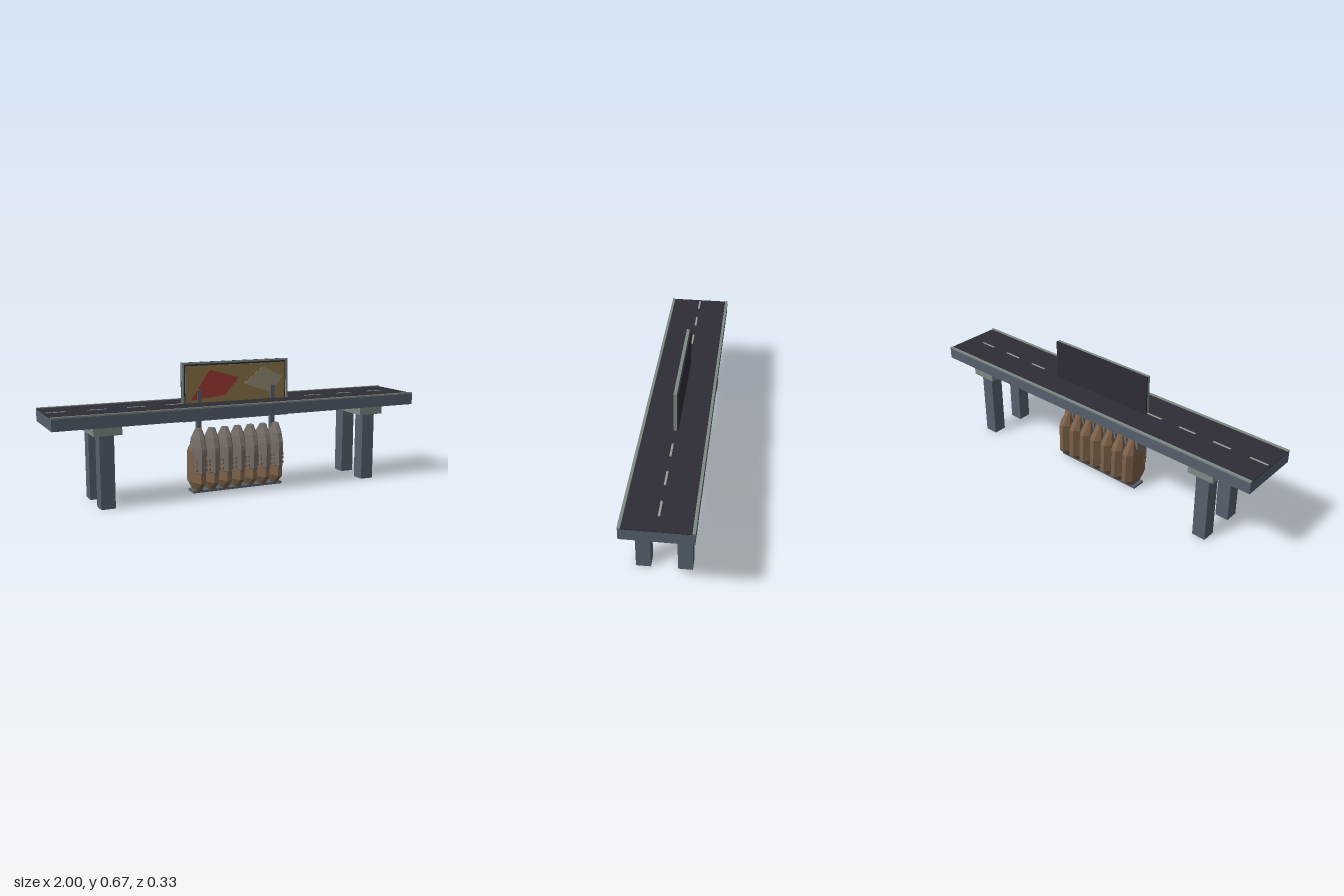
import * as THREE from 'three';

const mat = (name, color, extra = {}) => {
  const m = new THREE.MeshStandardMaterial({ color, ...extra });
  m.name = name;
  return m;
};

// Eight-sided loft; each ring is [y, halfWidth, noseHalfWidth, backNoseZ, backSideZ, frontSideZ, frontNoseZ]
function loftOctagon(rings) {
  const pos = [], idx = [];
  for (const [y, w, n, bn, bs, fs, fn] of rings) {
    pos.push(n, y, fn, w, y, fs, w, y, bs, n, y, bn, -n, y, bn, -w, y, bs, -w, y, fs, -n, y, fn);
  }
  for (let r = 0; r < rings.length - 1; r++) {
    for (let i = 0; i < 8; i++) {
      const a = r * 8 + i, b = r * 8 + (i + 1) % 8;
      idx.push(a, b, b + 8, a, b + 8, a + 8);
    }
  }
  const top = (rings.length - 1) * 8;
  for (let i = 1; i < 7; i++) idx.push(0, i + 1, i, top, top + i, top + i + 1);
  const indexed = new THREE.BufferGeometry();
  indexed.setAttribute('position', new THREE.Float32BufferAttribute(pos, 3));
  indexed.setIndex(idx);
  const geo = indexed.toNonIndexed();
  geo.computeVertexNormals();
  return geo;
}

export function createModel() {
  const root = new THREE.Group();
  root.name = 'overpass';
  const slate = mat('slate concrete', 0x56616d);
  const asphalt = mat('asphalt', 0x2e2d36);
  const stone = mat('pale concrete', 0x7f8a84);
  const paint = mat('road paint', 0x9a9a94);
  const ochre = mat('ochre panel', 0x8f774a);
  const red = mat('red poster', 0xa43c36);
  const cream = mat('cream poster', 0x9a9079);
  const brown = mat('brown shell', 0x7b6049);
  const taupe = mat('taupe hood', 0x756c66);

  const add = (name, geo, material, x = 0, y = 0, z = 0, parent = root) => {
    const m = new THREE.Mesh(geo, material);
    m.name = name;
    m.position.set(x, y, z);
    parent.add(m);
    return m;
  };
  // Box given by its min and max on each axis
  const box = (name, material, x0, x1, y0, y1, z0, z1, parent = root) =>
    add(name, new THREE.BoxGeometry(x1 - x0, y1 - y0, z1 - z0), material,
      (x0 + x1) / 2, (y0 + y1) / 2, (z0 + z1) / 2, parent);

  // Deck, road surface, kerbs and lane dashes
  box('deck', slate, -1, 1, 0.402, 0.46, -0.166, 0.166);
  box('roadSurface', asphalt, -1, 1, 0.46, 0.464, -0.153, 0.153);
  for (const s of [-1, 1]) {
    box('kerb', stone, -1, 1, 0.46, 0.468, s * 0.16 - 0.007, s * 0.16 + 0.007);
  }
  for (let i = 0; i < 10; i++) {
    const x = -0.94 + i * 0.2;
    box('laneDash', paint, x - 0.048, x + 0.048, 0.464, 0.4655, -0.005, 0.005);
  }

  // Piers: a cap on two square columns at each end
  for (const s of [-1, 1]) {
    const x = s * 0.735;
    box('pierCap', stone, x - 0.07, x + 0.07, 0.362, 0.402, -0.16, 0.16);
    for (const t of [-1, 1]) {
      box('column', slate, x - 0.036, x + 0.036, 0, 0.362, t * 0.1 - 0.036, t * 0.1 + 0.036);
    }
  }

  // Billboard with frame, panel and two posters
  const board = new THREE.Group();
  board.name = 'billboard';
  root.add(board);
  box('backing', asphalt, -0.3, 0.3, 0.37, 0.672, -0.015, -0.007, board);
  box('board', asphalt, -0.29, 0.29, 0.38, 0.662, -0.007, 0.003, board);
  box('panel', ochre, -0.283, 0.283, 0.387, 0.654, 0.003, 0.006, board);
  box('frameTop', stone, -0.3, 0.3, 0.663, 0.672, -0.007, 0.009, board);
  box('frameBottom', stone, -0.3, 0.3, 0.37, 0.379, -0.007, 0.009, board);
  for (const s of [-1, 1]) {
    box('frameSide', stone, s * 0.2955 - 0.0045, s * 0.2955 + 0.0045, 0.379, 0.663, -0.007, 0.009, board);
    box('post', slate, s * 0.21 - 0.011, s * 0.21 + 0.011, 0.012, 0.535, -0.013, 0.013, board);
  }
  const poster = (name, material, pts) => {
    const shape = new THREE.Shape(pts.map(([x, y]) => new THREE.Vector2(x, y)));
    add(name, new THREE.ExtrudeGeometry(shape, { depth: 0.002, bevelEnabled: false }), material, 0, 0, 0.006, board);
  };
  poster('redPoster', red, [[-0.257, 0.478], [-0.064, 0.497], [0.014, 0.585], [-0.15, 0.632]]);
  poster('creamPoster', cream, [[0.043, 0.55], [0.2, 0.497], [0.27, 0.578], [0.155, 0.636]]);

  // Row of upright pods on a base plate: brown shell with a taupe hood in front
  box('basePlate', slate, -0.256, 0.256, 0, 0.012, -0.037, 0.037);
  const shellGeo = loftOctagon([
    [0.008, 0.018, 0.008, -0.036, -0.022, 0.022, 0.036],
    [0.056, 0.035, 0.012, -0.085, -0.055, 0.035, 0.085],
    [0.215, 0.035, 0.012, -0.08, -0.048, 0.03, 0.075],
    [0.288, 0.013, 0.007, -0.027, -0.02, 0.02, 0.03],
  ]);
  const hoodGeo = loftOctagon([
    [0.095, 0.012, 0.007, 0.035, 0.04, 0.055, 0.08],
    [0.11, 0.026, 0.01, 0.03, 0.036, 0.06, 0.09],
    [0.215, 0.035, 0.011, 0.005, 0.02, 0.048, 0.094],
    [0.237, 0.035, 0.012, -0.02, -0.016, 0.046, 0.092],
    [0.285, 0.028, 0.012, -0.017, -0.014, 0.044, 0.074],
    [0.335, 0.014, 0.008, 0.009, 0.012, 0.034, 0.04],
  ]);
  for (let i = 0; i < 7; i++) {
    const pod = new THREE.Group();
    pod.name = 'pod';
    pod.position.x = (i - 3) * 0.0735;
    root.add(pod);
    add('shell', shellGeo, brown, 0, 0, 0, pod);
    add('hood', hoodGeo, taupe, 0, 0, 0, pod);
    // Small ridges down the hood's sides
    for (const y of [0.125, 0.15, 0.17]) {
      box('hoodRidge', taupe, -0.031, 0.031, y - 0.007, y + 0.007, 0.038, 0.066, pod);
    }
  }
  return root;
}
